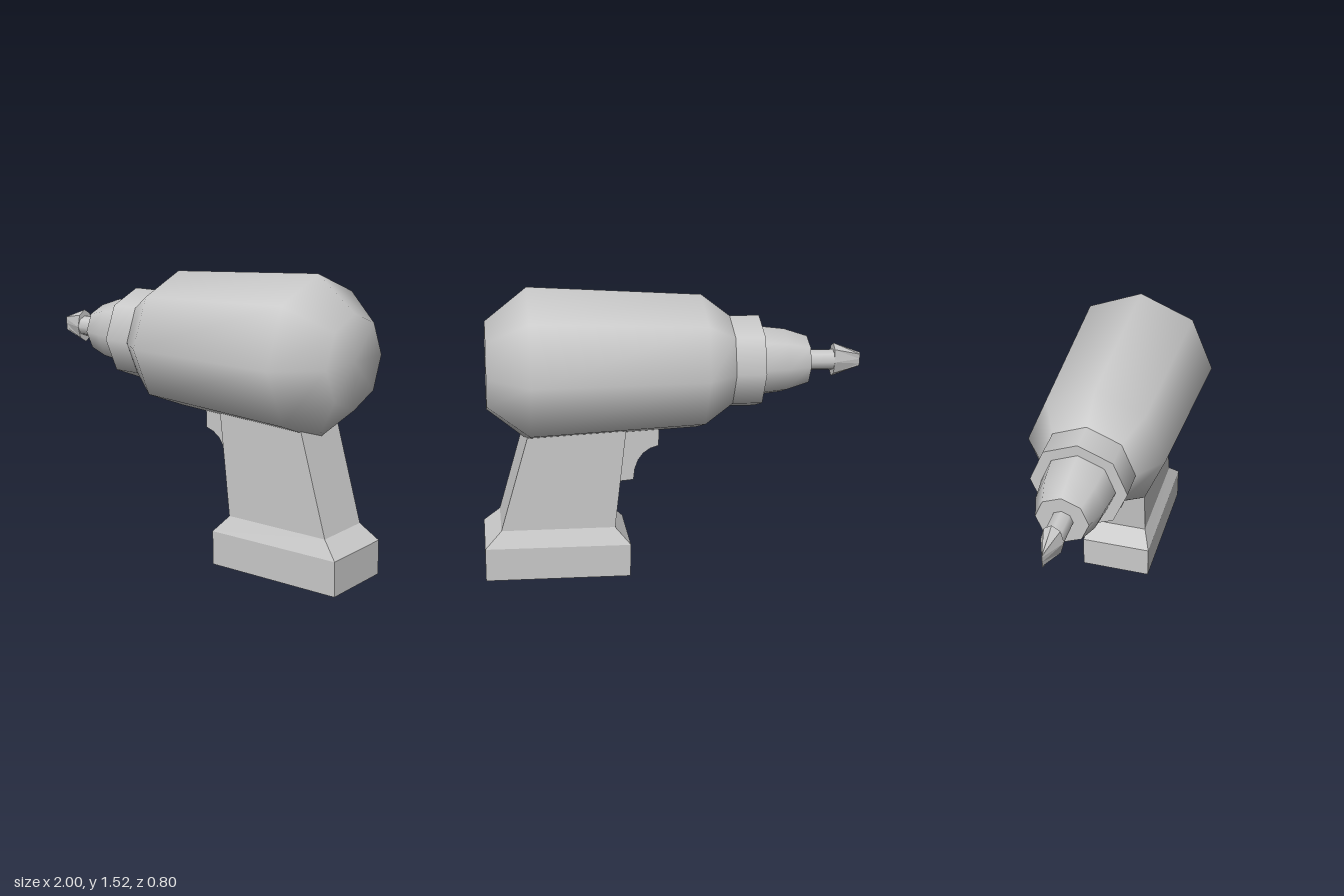
import * as THREE from 'three';
import { mergeGeometries } from 'three/addons/utils/BufferGeometryUtils.js';

const SIDES = 8;
const smooth = new THREE.MeshStandardMaterial({ color: 0xcccccc });
const flat = new THREE.MeshStandardMaterial({ color: 0xcccccc, flatShading: true });

// Turned part along x; each section is a smooth run of [x, radius], creased against the next
function turned(name, sections) {
  const lathes = sections.map((run) =>
    new THREE.LatheGeometry(run.map(([x, r]) => new THREE.Vector2(r, x)), SIDES));
  const geometry = mergeGeometries(lathes).rotateZ(-Math.PI / 2);
  const mesh = new THREE.Mesh(geometry, smooth);
  mesh.name = name;
  return mesh;
}

// Closed flat-sided loft through equally long rings of [x, y, z]
function loft(name, rings) {
  const n = rings[0].length;
  const index = [];
  for (let k = 0; k < rings.length - 1; k++) {
    for (let i = 0; i < n; i++) {
      const a = k * n + i, b = k * n + (i + 1) % n;
      index.push(a, b, b + n, a, b + n, a + n);
    }
  }
  const last = (rings.length - 1) * n;
  for (let i = 1; i < n - 1; i++) {
    index.push(0, i + 1, i, last, last + i, last + i + 1);
  }
  const geometry = new THREE.BufferGeometry();
  geometry.setAttribute('position', new THREE.Float32BufferAttribute(rings.flat(2), 3));
  geometry.setIndex(index);
  geometry.computeVertexNormals();
  const mesh = new THREE.Mesh(geometry, flat);
  mesh.name = name;
  return mesh;
}

export function createModel() {
  const model = new THREE.Group();
  model.name = 'powerDrill';

  // Motor body, collar, chuck and bit share one slightly tilted axis
  const head = new THREE.Group();
  head.name = 'head';
  head.position.y = 1.1;
  head.rotation.z = 0.03;
  model.add(head);

  head.add(turned('motorBody', [
    [[-0.295, 0.24], [-0.14, 0.355], [0.735, 0.4], [0.942, 0.23], [0.942, 0]],
  ]));
  head.add(turned('collar', [
    [[-0.445, 0.17], [-0.445, 0.243]],
    [[-0.445, 0.243], [-0.292, 0.243]],
  ]));
  head.add(turned('chuck', [
    [[-0.705, 0], [-0.705, 0.13]],
    [[-0.705, 0.13], [-0.58, 0.17], [-0.44, 0.186]],
  ]));
  head.add(turned('bitShaft', [[[-0.86, 0.055], [-0.7, 0.055]]]));

  // Chisel-shaped bit: an octagon narrowing to an upright edge
  const bitRing = (x, ry, rz) => Array.from({ length: SIDES }, (_, i) => {
    const a = (i / SIDES) * Math.PI * 2;
    return [x, ry * Math.cos(a), rz * Math.sin(a)];
  });
  head.add(loft('bitTip', [bitRing(-1, 0.036, 0.001), bitRing(-0.85, 0.09, 0.056)]));

  // Grip flaring into the battery base: [front x, front y, rear x, rear y, half width]
  const gripRing = ([xf, yf, xr, yr, w]) =>
    [[xf, yf, w], [xr, yr, w], [xr, yr, -w], [xf, yf, -w]];
  model.add(loft('handle', [
    [0.248, 0, 0.996, 0.03, 0.19],
    [0.243, 0.178, 0.992, 0.207, 0.19],
    [0.32, 0.267, 0.905, 0.287, 0.15],
    [0.243, 0.9, 0.722, 0.89, 0.15],
  ].map(gripRing)));

  // Trigger with a concave finger curve
  const outline = new THREE.Shape();
  outline.moveTo(0.33, 0.475);
  outline.lineTo(0.33, 0.82);
  outline.lineTo(0.07, 0.82);
  outline.lineTo(0.074, 0.665);
  outline.quadraticCurveTo(0.2, 0.645, 0.208, 0.482);
  outline.closePath();
  const width = 0.08;
  const trigger = new THREE.Mesh(
    new THREE.ExtrudeGeometry(outline, { depth: width, bevelEnabled: false, curveSegments: 5 })
      .translate(0, 0, -width / 2), flat);
  trigger.name = 'trigger';
  model.add(trigger);

  return model;
}
